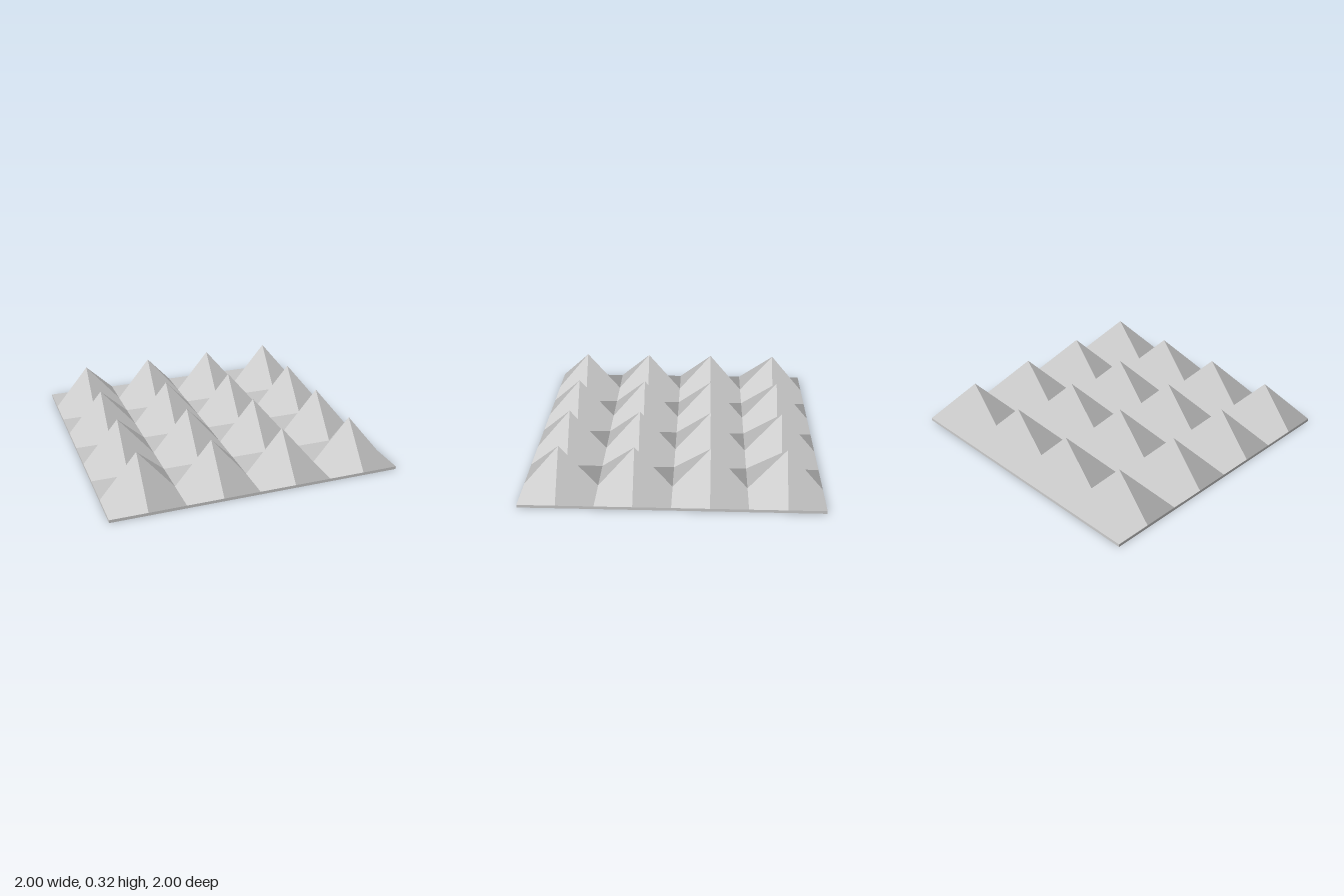
import * as THREE from 'three';

const COUNT = 4;          // spikes per side
const HALF = 0.25;        // half of one tile
const PLATE = 0.02;       // plate thickness
const HEIGHT = 0.3;       // spike height above the plate

// One square tile: four folded facets between the peak and the tile corners.
// All fold along the same diagonal direction, so they alternate between
// a valley across the facet and a ridge from the peak to the corner.
function tileGeometry() {
  const dirs = [[1, 0], [0, 1], [-1, 0], [0, -1]];
  const positions = [], normals = [];
  dirs.forEach(([ax, az], k) => {
    const [bx, bz] = dirs[(k + 1) % 4];
    const cx = ax + bx, cz = az + bz;
    const peak = [0, HEIGHT, 0];
    const a = [ax * HALF, 0, az * HALF];
    const b = [bx * HALF, 0, bz * HALF];
    const corner = [cx * HALF, 0, cz * HALF];
    const triangles = k % 2 === 0
      ? [peak, b, a, a, b, corner]
      : [peak, b, corner, peak, corner, a];
    positions.push(...triangles.flat());
    // the whole folded facet shares one normal, so it shades evenly
    const n = new THREE.Vector3(cx * HEIGHT, 2 * HALF, cz * HEIGHT).normalize();
    for (let i = 0; i < 6; i++) normals.push(n.x, n.y, n.z);
  });
  const g = new THREE.BufferGeometry();
  g.setAttribute('position', new THREE.Float32BufferAttribute(positions, 3));
  g.setAttribute('normal', new THREE.Float32BufferAttribute(normals, 3));
  return g;
}

// Thin plate, left open on top where the tiles close it
function plateGeometry() {
  const size = COUNT * HALF * 2;
  const g = new THREE.BoxGeometry(size, PLATE, size);
  const index = Array.from(g.index.array).filter((_, i) => i < 12 || i >= 18);
  g.setIndex(index);
  g.clearGroups();
  g.translate(0, PLATE / 2, 0);
  return g;
}

export function createModel() {
  const model = new THREE.Group();
  model.name = 'spikedPanel';
  const material = new THREE.MeshStandardMaterial({ color: 0xcccccc });

  const plate = new THREE.Mesh(plateGeometry(), material);
  plate.name = 'basePlate';
  model.add(plate);

  // Grid of spikes
  const spikes = new THREE.Group();
  spikes.name = 'spikes';
  const tile = tileGeometry();
  const place = (i) => (i - (COUNT - 1) / 2) * HALF * 2;
  for (let row = 0; row < COUNT; row++) {
    for (let col = 0; col < COUNT; col++) {
      const spike = new THREE.Mesh(tile, material);
      spike.name = 'pyramidSpike';
      spike.position.set(place(col), PLATE, place(row));
      spikes.add(spike);
    }
  }
  model.add(spikes);
  return model;
}
